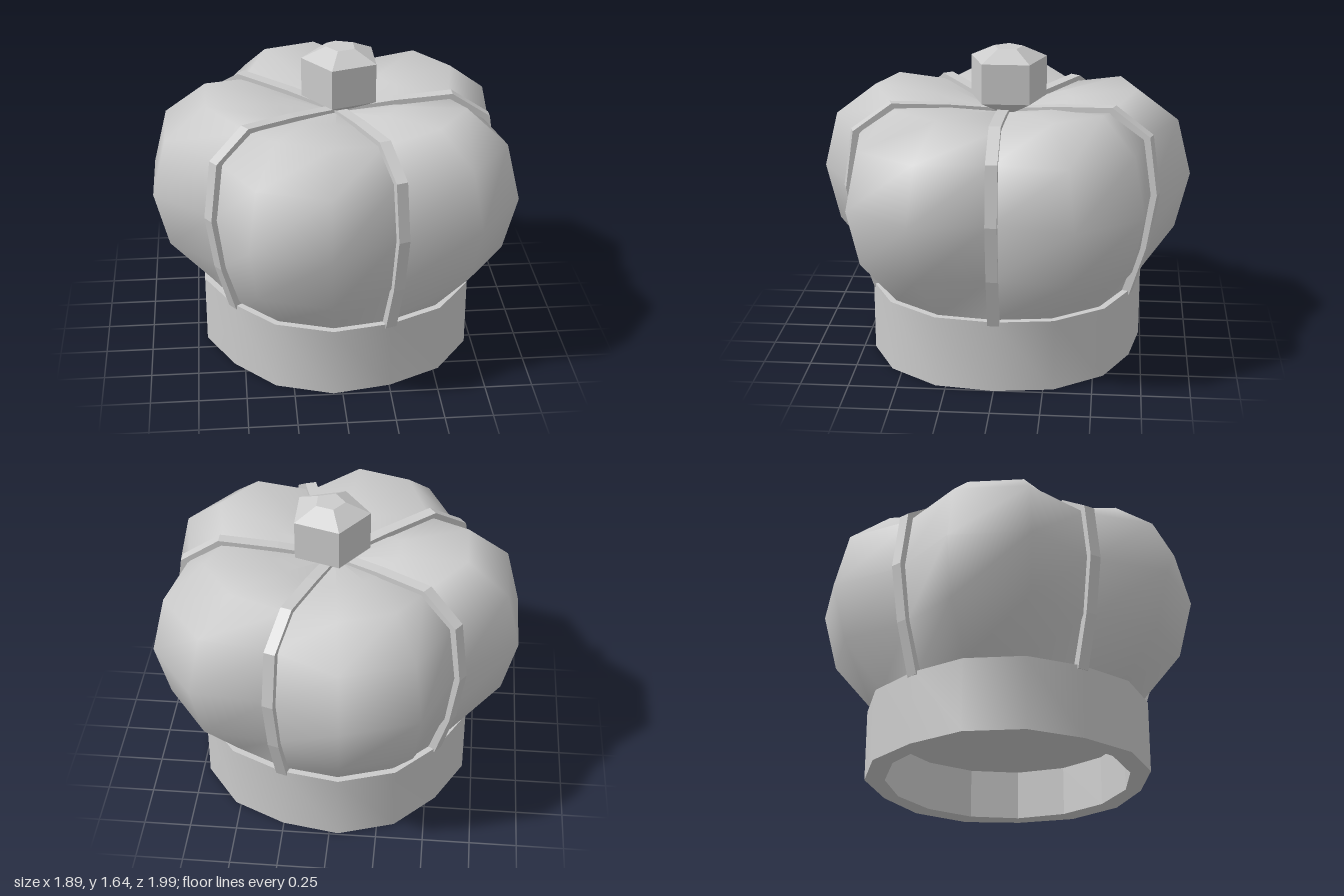
import * as THREE from 'three';
import { toCreasedNormals } from 'three/addons/utils/BufferGeometryUtils.js';

const LOBES = 5;
const STEP = (Math.PI * 2) / LOBES;

// Profiles as [radius, height]: crest of a lobe, and valley between lobes
const CREST = [[0.69, 0.34], [0.71, 0.38], [0.925, 0.63], [1.0, 0.93], [0.925, 1.23], [0.705, 1.4], [0.35, 1.36], [0, 1.28]];
const VALLEY = [[0.67, 0.34], [0.69, 0.38], [0.775, 0.63], [0.82, 0.93], [0.775, 1.22], [0.59, 1.335], [0.3, 1.31], [0, 1.28]];

function material(options = {}) {
  return new THREE.MeshStandardMaterial({ color: 0xcccccc, ...options });
}

function addMesh(parent, name, geometry, options) {
  const mesh = new THREE.Mesh(geometry, material(options));
  mesh.name = name;
  parent.add(mesh);
  return mesh;
}

// One puffed lobe: four columns spanning valley, crest, crest, valley
function lobeGeometry() {
  const columns = [[-36, VALLEY], [-12, CREST], [12, CREST], [36, VALLEY]];
  const positions = [];
  const index = [];
  const rows = CREST.length;
  for (const [degrees, profile] of columns) {
    const a = THREE.MathUtils.degToRad(degrees);
    for (const [r, y] of profile) positions.push(r * Math.cos(a), y, -r * Math.sin(a));
  }
  for (let c = 0; c < 3; c++) {
    for (let r = 0; r < rows - 1; r++) {
      const a = c * rows + r;
      const b = a + rows;
      index.push(a, b, b + 1);
      if (r < rows - 2) index.push(a, b + 1, a + 1);
    }
  }
  const geometry = new THREE.BufferGeometry();
  geometry.setAttribute('position', new THREE.Float32BufferAttribute(positions, 3));
  geometry.setIndex(index);
  geometry.computeVertexNormals();
  return geometry;
}

// Flat strap that follows the valley and stands slightly proud of it
function ribGeometry() {
  const outer = [[0.725, 0.36], [0.81, 0.63], [0.86, 0.93], [0.815, 1.235], [0.61, 1.37], [0.3, 1.345], [0.03, 1.31]];
  const inner = [[0.03, 1.25], [0.3, 1.27], [0.56, 1.29], [0.73, 1.19], [0.77, 0.93], [0.73, 0.63], [0.65, 0.36]];
  const shape = new THREE.Shape([...outer, ...inner].map(([x, y]) => new THREE.Vector2(x, y)));
  const geometry = new THREE.ExtrudeGeometry(shape, { depth: 0.06, bevelEnabled: false });
  return geometry.translate(0, 0, -0.03);
}

// Fifteen-sided turned part with a corner at every valley
function turned(points) {
  return new THREE.LatheGeometry(points.map(([r, y]) => new THREE.Vector2(r, y)), 15, Math.PI / 2);
}

export function createModel() {
  const model = new THREE.Group();
  model.name = 'crown';
  const body = new THREE.Group();
  body.name = 'crownBody';
  body.position.x = 0.03;
  model.add(body);

  // Head band, with its corners pulled in a little under the ribs
  const band = turned([[0.64, 0], [0.746, 0], [0.746, 0.38], [0.66, 0.38]]);
  const p = band.attributes.position;
  for (let i = 0; i < p.count; i++) {
    const column = Math.floor(i / 4);
    if (column % 3 === 0 && i % 4 !== 0) {
      p.setX(i, p.getX(i) * 0.97);
      p.setZ(i, p.getZ(i) * 0.97);
    }
  }
  addMesh(body, 'headBand', toCreasedNormals(band, 0.7), { side: THREE.DoubleSide });

  // Inside wall and closed ceiling of the hollow base
  addMesh(body, 'bandLining', turned([[0, 0.27], [0.64, 0.27], [0.64, 0]]), {
    flatShading: true,
    side: THREE.DoubleSide,
  });

  // Five lobes with a rib in each valley
  const lobe = lobeGeometry();
  const rib = ribGeometry();
  for (let i = 0; i < LOBES; i++) {
    addMesh(body, 'puffedLobe', lobe, { side: THREE.DoubleSide }).rotation.y = (i + 0.5) * STEP;
    addMesh(body, 'rib', rib, { flatShading: true }).rotation.y = i * STEP;
  }

  // Five-sided jewel, pointed below and cut flat on top
  const profile = [[0, 1.27], [0.21, 1.37], [0.21, 1.58], [0.08, 1.64], [0, 1.64]];
  const jewel = new THREE.LatheGeometry(profile.map(([r, y]) => new THREE.Vector2(r, y)), 5, -Math.PI / 2);
  addMesh(model, 'topJewel', jewel, { flatShading: true }).position.set(0.055, 0, -0.02);

  return model;
}
